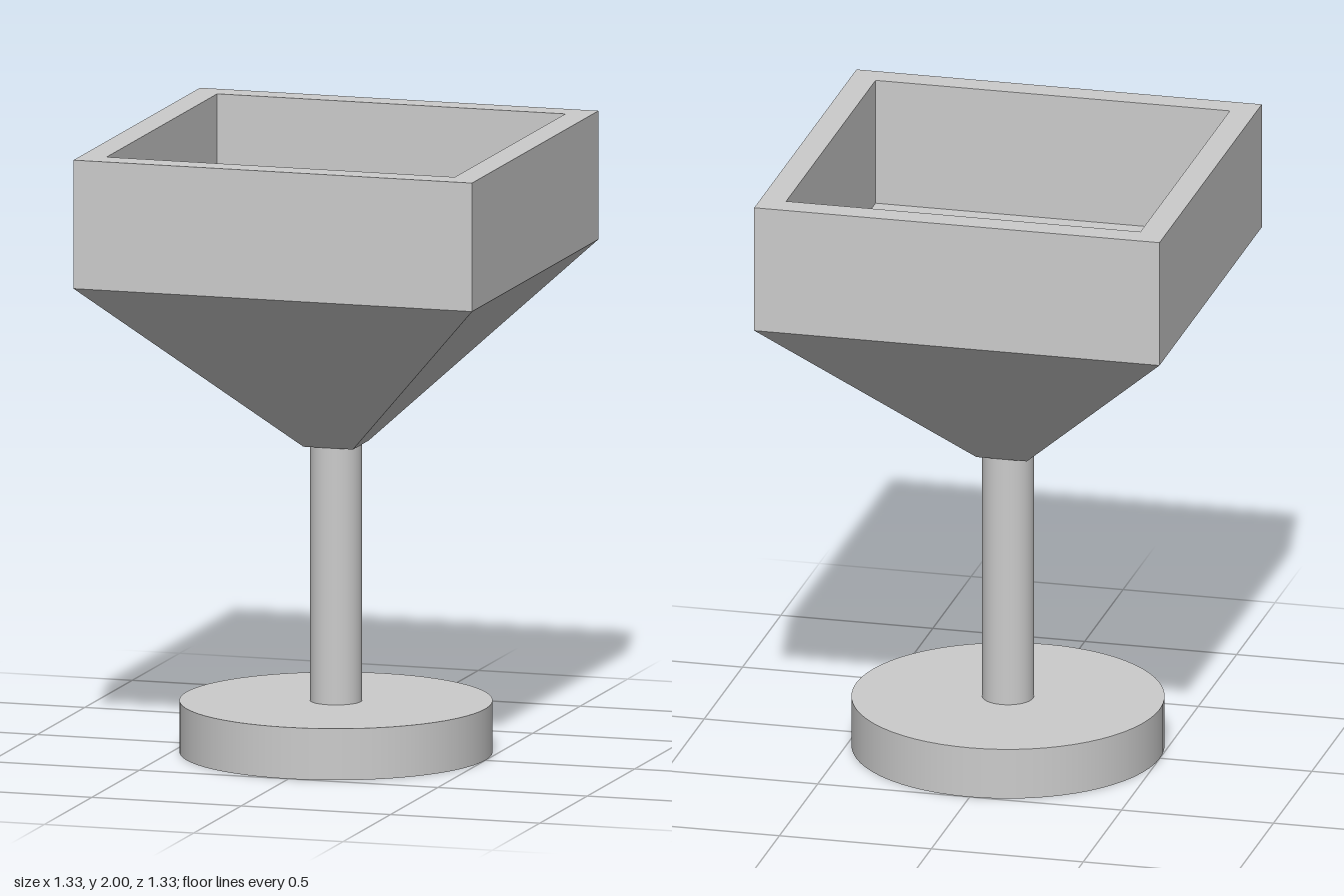
import * as THREE from 'three';

export function createModel() {
  const model = new THREE.Group();
  const smooth = new THREE.MeshStandardMaterial({ color: 0xcccccc });
  const flat = new THREE.MeshStandardMaterial({ color: 0xcccccc, flatShading: true });

  const add = (name, geometry, material) => {
    const mesh = new THREE.Mesh(geometry, material);
    mesh.name = name;
    model.add(mesh);
  };
  const disc = (radius, y0, y1) =>
    new THREE.CylinderGeometry(radius, radius, y1 - y0, 64).translate(0, (y0 + y1) / 2, 0);
  const square = (Type, h) =>
    new Type([[-h, -h], [h, -h], [h, h], [-h, h]].map(([x, y]) => new THREE.Vector2(x, y)));

  const half = 0.667, inner = 0.583, stemRadius = 0.083;
  const baseTop = 0.167, funnelBottom = 1, floorY = 1.583, top = 2;

  // Round foot and the stem, which ends flush with the tray floor
  add('base', disc(0.5, 0, baseTop), smooth);
  add('stem', disc(stemRadius, baseTop, floorY + 0.001), smooth);

  // Square funnel; its upper face is the tray floor
  const funnel = new THREE.CylinderGeometry(
    half * Math.SQRT2, stemRadius * Math.SQRT2, floorY - funnelBottom, 4);
  funnel.rotateY(Math.PI / 4).translate(0, (floorY + funnelBottom) / 2, 0);
  add('funnel', funnel, flat);

  // Open square wall around the tray
  const outline = square(THREE.Shape, half);
  outline.holes.push(square(THREE.Path, inner));
  const wall = new THREE.ExtrudeGeometry(outline, { depth: top - floorY, bevelEnabled: false });
  wall.rotateX(-Math.PI / 2).translate(0, floorY, 0);
  add('trayWall', wall, flat);

  return model;
}
